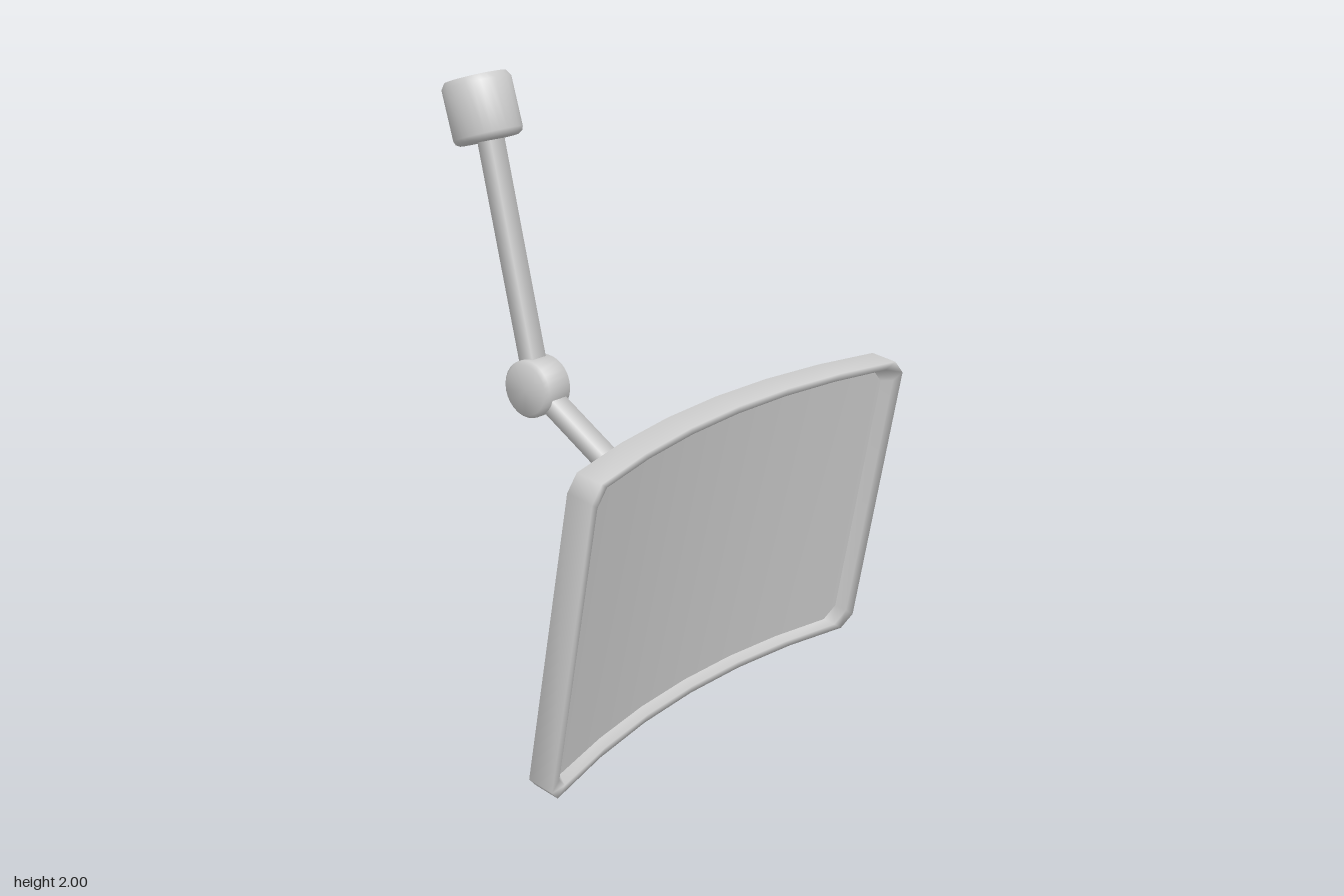
import * as THREE from 'three';
import { toCreasedNormals } from 'three/addons/utils/BufferGeometryUtils.js';

const grey = new THREE.MeshStandardMaterial({ color: 0xcccccc });
const greyThin = new THREE.MeshStandardMaterial({ color: 0xcccccc, side: THREE.DoubleSide });

const HALF_W = 0.83, HALF_H = 0.522, CUT = 0.046, SAG = 0.104, SEGMENTS = 6;

function addMesh(parent, name, geometry, material = grey) {
  const mesh = new THREE.Mesh(geometry, material);
  mesh.name = name;
  parent.add(mesh);
  return mesh;
}

// Closed loop with cut corners, bent so the sides come forward.
// Runs along the bottom left to right, then back along the top.
function panelLoop(scale, depth) {
  const w = HALF_W * scale, h = HALF_H * scale;
  const columns = [[-w, h - CUT]];
  for (let i = 0; i <= SEGMENTS; i++) columns.push([(w - CUT) * (2 * i / SEGMENTS - 1), h]);
  columns.push([w, h - CUT]);
  const bend = (x, y) => [x, y, depth + SAG * (x / HALF_W) ** 2];
  return [
    ...columns.map(([x, y]) => bend(x, -y)),
    ...columns.reverse().map(([x, y]) => bend(x, y)),
  ];
}

// Skins a list of [scale, depth] loops; optional back and front caps
function panelGeometry(profile, backCap, frontCap) {
  const loops = profile.map(([scale, depth]) => panelLoop(scale, depth));
  const n = loops[0].length, index = [];
  const quad = (a, b, c, d) => index.push(a, b, c, a, c, d);
  for (let r = 0; r < loops.length - 1; r++) {
    for (let k = 0; k < n; k++) {
      const next = (k + 1) % n;
      quad(r * n + k, r * n + next, (r + 1) * n + next, (r + 1) * n + k);
    }
  }
  const last = (loops.length - 1) * n;
  for (let i = 0; i < n / 2 - 1; i++) {
    if (backCap) quad(i, n - 1 - i, n - 2 - i, i + 1);
    if (frontCap) quad(last + i, last + i + 1, last + n - 2 - i, last + n - 1 - i);
  }
  const geometry = new THREE.BufferGeometry();
  geometry.setAttribute('position', new THREE.Float32BufferAttribute(loops.flat(2), 3));
  geometry.setIndex(index);
  geometry.computeVertexNormals();
  return geometry;
}

// Bevelled disc lying along x; start and length allow a half disc
function discGeometry(radius, halfWidth, bevel, start = 0, length = Math.PI * 2) {
  const points = [
    [0, -halfWidth], [radius - bevel, -halfWidth], [radius, -halfWidth + bevel],
    [radius, halfWidth - bevel], [radius - bevel, halfWidth], [0, halfWidth],
  ].map(([x, y]) => new THREE.Vector2(x, y));
  const lathe = new THREE.LatheGeometry(points, 28, start, length);
  return toCreasedNormals(lathe.rotateZ(Math.PI / 2), 0.9);
}

// Rectangular bar with softly shaded sides between two [y, z] points
function addBar(parent, name, [y0, z0], [y1, z1]) {
  const bar = new THREE.CylinderGeometry(Math.SQRT1_2, Math.SQRT1_2, 1, 4);
  bar.rotateY(Math.PI / 4).scale(0.07, Math.hypot(y1 - y0, z1 - z0), 0.06);
  const mesh = addMesh(parent, name, bar);
  mesh.position.set(0, (y0 + y1) / 2, (z0 + z1) / 2);
  mesh.rotation.x = Math.atan2(z1 - z0, y1 - y0);
}

export function createModel() {
  const model = new THREE.Group();
  model.name = 'curvedScreenOnArm';

  // Tilted curved panel with a raised rim
  const panel = new THREE.Group();
  panel.name = 'panel';
  panel.position.set(0, 0.546, 0.377);
  panel.rotation.x = 0.163;
  model.add(panel);
  addMesh(panel, 'housing', panelGeometry(
    [[0.96, 0], [1, 0], [1, 0.091], [0.953, 0.091], [0.933, 0.058]], true, false));
  addMesh(panel, 'screen', panelGeometry([[0.933, 0.058]], false, true));

  // Half-round mount set into the back of the panel
  const mount = addMesh(panel, 'mount',
    discGeometry(0.095, 0.1, 0.018, Math.PI / 2, Math.PI), greyThin);
  mount.position.set(0, 0.015, 0.014);

  // Folding arm
  const elbow = [0.952, -0.28];
  addBar(model, 'lowerArm', elbow, [0.535, 0.36]);
  addBar(model, 'upperArm', elbow, [1.768, -0.475]);
  const joint = addMesh(model, 'elbowJoint', discGeometry(0.1, 0.065, 0.013));
  joint.position.set(0, ...elbow);

  // Open cup at the end of the arm
  const cupProfile = [[0, 0], [0.1, 0], [0.114, 0.008], [0.119, 0.022], [0.119, 0.192], [0.105, 0.213]]
    .map(([x, y]) => new THREE.Vector2(x, y));
  const cup = addMesh(model, 'endCup',
    toCreasedNormals(new THREE.LatheGeometry(cupProfile, 28), 0.9), greyThin);
  cup.position.set(0, 1.767, -0.482);
  cup.rotation.x = -0.288;

  return model;
}
